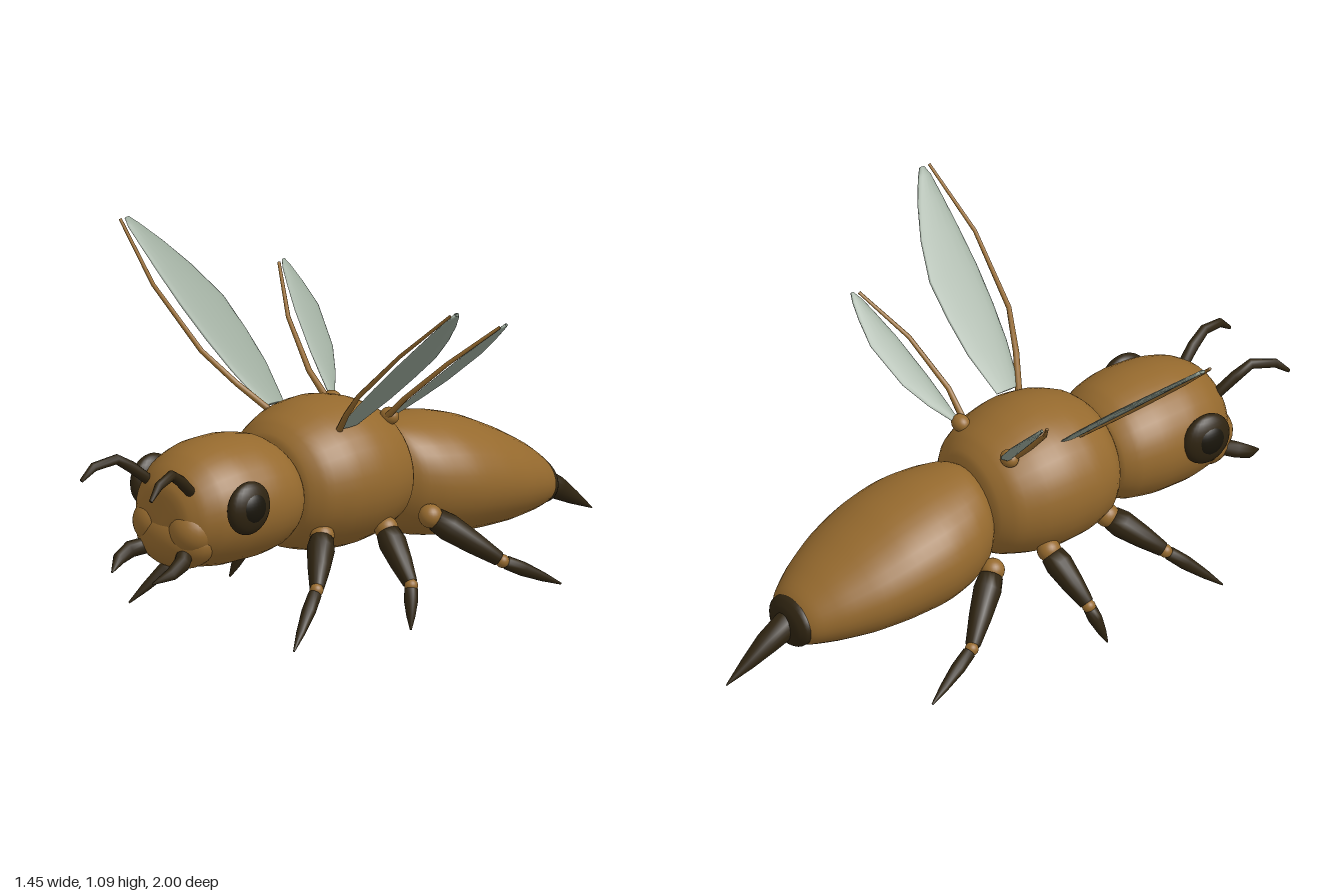
import * as THREE from 'three';

const V = (x, y, z) => new THREE.Vector3(x, y, z);

// Smooth closed skin over elliptical rings { c: centre, u, v: half axes }
function loft(rings, n) {
  const pos = [], idx = [];
  for (const { c, u, v } of rings) {
    for (let j = 0; j < n; j++) {
      const a = (j / n) * Math.PI * 2;
      const p = c.clone().addScaledVector(u, Math.cos(a)).addScaledVector(v, Math.sin(a));
      pos.push(p.x, p.y, p.z);
    }
  }
  const m = rings.length >> 1;
  const along = rings[m].c.clone().sub(rings[m - 1].c);
  const flip = rings[m].u.clone().cross(rings[m].v).dot(along) < 0;
  for (let i = 0; i < rings.length - 1; i++) {
    for (let j = 0; j < n; j++) {
      const a = i * n + j, b = i * n + ((j + 1) % n), c = a + n, d = b + n;
      if (flip) idx.push(a, c, b, b, c, d);
      else idx.push(a, b, c, b, d, c);
    }
  }
  const g = new THREE.BufferGeometry();
  g.setAttribute('position', new THREE.Float32BufferAttribute(pos, 3));
  g.setIndex(idx);
  g.computeVertexNormals();
  return g;
}

// Body segment from a few stations [z, centre y, half width, half height]
function bodyGeometry(stations) {
  const a = new THREE.CatmullRomCurve3(stations.map(([z, y]) => V(0, y, z)));
  const b = new THREE.CatmullRomCurve3(stations.map(([, , rx, ry]) => V(rx, ry, 0)));
  const rings = [], steps = (stations.length - 1) * 4;
  for (let i = 0; i <= steps; i++) {
    const c = a.getPoint(i / steps), r = b.getPoint(i / steps);
    rings.push({ c, u: V(Math.max(r.x, 0), 0, 0), v: V(0, Math.max(r.y, 0), 0) });
  }
  return loft(rings, 36);
}

// Round limb through points with a radius at each, closed at both ends
function limbGeometry(points, radii, n = 10) {
  const rings = points.map((c, i) => {
    const t = points[Math.min(i + 1, points.length - 1)].clone().sub(points[Math.max(i - 1, 0)]).normalize();
    const u = t.clone().cross(V(1, 0, 0)).normalize();
    const v = t.clone().cross(u);
    return { c, u: u.multiplyScalar(radii[i]), v: v.multiplyScalar(radii[i]) };
  });
  const cap = (r) => ({ c: r.c.clone(), u: r.u.clone().multiplyScalar(0.001), v: r.v.clone().multiplyScalar(0.001) });
  return loft([cap(rings[0]), ...rings, cap(rings[rings.length - 1])], n);
}

export function createModel() {
  const model = new THREE.Group();
  model.name = 'insect';
  const material = (name, color) => {
    const m = new THREE.MeshStandardMaterial({ color });
    m.name = name;
    return m;
  };
  const brown = material('amber brown', 0x966a2e);
  const dark = material('dark brown', 0x2f2411);
  const black = material('eye black', 0x19150b);
  const grey = material('wing grey', 0x98a698);

  const add = (name, geometry, mat, parent = model) => {
    const mesh = new THREE.Mesh(geometry, mat);
    mesh.name = name;
    parent.add(mesh);
    return mesh;
  };
  const ball = (name, c, r, mat, parent = model) => {
    const mesh = add(name, new THREE.SphereGeometry(1, 24, 16), mat, parent);
    mesh.position.copy(c);
    mesh.scale.copy(r);
    return mesh;
  };

  // Head, thorax and abdomen
  add('head', bodyGeometry([
    [0.34, 0.41, 0, 0], [0.36, 0.41, 0.16, 0.14], [0.42, 0.415, 0.2, 0.178], [0.52, 0.42, 0.217, 0.194],
    [0.62, 0.42, 0.212, 0.194], [0.71, 0.415, 0.188, 0.178], [0.77, 0.405, 0.15, 0.148],
    [0.805, 0.395, 0.1, 0.105], [0.815, 0.39, 0, 0],
  ]), brown);
  add('thorax', bodyGeometry([
    [0.375, 0.41, 0, 0], [0.36, 0.41, 0.16, 0.155], [0.31, 0.415, 0.216, 0.2], [0.22, 0.42, 0.25, 0.228],
    [0.13, 0.42, 0.257, 0.235], [0.04, 0.415, 0.246, 0.222], [-0.05, 0.405, 0.21, 0.19],
    [-0.1, 0.395, 0.15, 0.145], [-0.12, 0.39, 0, 0],
  ]), brown);
  add('abdomen', bodyGeometry([
    [-0.07, 0.36, 0, 0], [-0.09, 0.36, 0.13, 0.14], [-0.13, 0.355, 0.175, 0.173], [-0.2, 0.342, 0.212, 0.188],
    [-0.31, 0.326, 0.237, 0.192], [-0.43, 0.305, 0.234, 0.178], [-0.55, 0.276, 0.21, 0.151],
    [-0.66, 0.247, 0.165, 0.117], [-0.74, 0.222, 0.115, 0.084], [-0.775, 0.21, 0.07, 0.05], [-0.785, 0.21, 0, 0],
  ]), brown);

  // Tail cap and stinger
  add('tailCap', bodyGeometry([
    [-0.73, 0.218, 0.06, 0.05], [-0.738, 0.217, 0.1, 0.077], [-0.765, 0.211, 0.098, 0.075],
    [-0.785, 0.205, 0.07, 0.055], [-0.795, 0.202, 0, 0],
  ]), dark);
  add('stinger', limbGeometry(
    [V(0, 0.21, -0.765), V(0, 0.165, -0.85), V(0, 0.12, -0.92), V(0, 0.07, -1)],
    [0.044, 0.036, 0.022, 0.002], 16), dark);

  // Face plate with two upper lobes
  ball('facePlate', V(0, 0.335, 0.745), V(0.15, 0.095, 0.083), brown);
  for (const s of [1, -1]) ball('faceLobe', V(s * 0.078, 0.372, 0.75), V(0.075, 0.075, 0.075), brown);

  // Leg joints as [x, y, z]: hip, knee, foot
  const legs = {
    frontLeg: [[0.175, 0.285, 0.3], [0.29, 0.165, 0.435], [0.36, 0.02, 0.597]],
    middleLeg: [[0.205, 0.265, 0.06], [0.355, 0.125, 0.1], [0.395, 0.002, 0.14]],
    hindLeg: [[0.19, 0.26, -0.14], [0.322, 0.11, -0.315], [0.38, 0.012, -0.505]],
  };

  // Wings in side outline: blade stations [y, leading z, trailing z], vein [y, z]
  const wings = {
    foreWing: {
      x0: 0.165, slope: 1.144, thick: 0.006,
      blade: [[0.605, 0.22, 0.135], [0.7, 0.252, 0.105], [0.78, 0.268, 0.098], [0.865, 0.278, 0.1],
        [0.95, 0.28, 0.138], [1.02, 0.279, 0.185], [1.07, 0.277, 0.228], [1.09, 0.268, 0.25]],
      vein: [[0.59, 0.205], [0.67, 0.262], [0.76, 0.31], [0.93, 0.325], [1.09, 0.287]],
    },
    hindWing: {
      x0: 0.15, slope: 1.07, thick: 0.005,
      blade: [[0.595, -0.03, -0.055], [0.64, -0.042, -0.105], [0.7, -0.06, -0.155], [0.8, -0.098, -0.197],
        [0.86, -0.128, -0.194], [0.9, -0.15, -0.187], [0.92, -0.168, -0.178]],
      vein: [[0.585, -0.015], [0.66, -0.014], [0.79, -0.06], [0.915, -0.15]],
    },
  };

  for (const s of [1, -1]) {
    const side = s > 0 ? 'left' : 'right';
    const group = (name) => {
      const g = new THREE.Group();
      g.name = side + name[0].toUpperCase() + name.slice(1);
      model.add(g);
      return g;
    };

    // Domed eye with a darker raised centre
    const eye = group('eye');
    ball('eyeRim', V(s * 0.212, 0.45, 0.645), V(0.038, 0.083, 0.083), dark, eye);
    ball('eyeLens', V(s * 0.225, 0.453, 0.645), V(0.031, 0.055, 0.055), black, eye);

    // Antenna and mandible
    add(side + 'Antenna', limbGeometry(
      [V(s * 0.088, 0.495, 0.765), V(s * 0.108, 0.55, 0.83), V(s * 0.12, 0.582, 0.88),
        V(s * 0.142, 0.568, 0.955), V(s * 0.152, 0.53, 0.998)],
      [0.017, 0.018, 0.016, 0.014, 0.006]), dark);
    add(side + 'Mandible', limbGeometry(
      [V(s * 0.075, 0.305, 0.78), V(s * 0.112, 0.29, 0.83), V(s * 0.115, 0.268, 0.875), V(s * 0.088, 0.242, 0.93)],
      [0.026, 0.026, 0.02, 0.003]), dark);

    // Legs: hip ball, thick thigh, knee ball, pointed shin
    for (const [name, joints] of Object.entries(legs)) {
      const leg = group(name);
      const [hip, knee, foot] = joints.map(([x, y, z]) => V(s * x, y, z));
      const at = (a, b, t) => a.clone().lerp(b, t);
      ball('hip', hip, V(0.037, 0.037, 0.037), brown, leg);
      add('thigh', limbGeometry(
        [at(hip, knee, 0.08), at(hip, knee, 0.25), at(hip, knee, 0.6), at(hip, knee, 0.95)],
        [0.037, 0.043, 0.035, 0.023], 14), dark, leg);
      ball('knee', knee, V(0.021, 0.021, 0.021), brown, leg);
      add('shin', limbGeometry(
        [at(knee, foot, 0.07), at(knee, foot, 0.35), at(knee, foot, 0.7), foot],
        [0.021, 0.022, 0.014, 0.003], 12), dark, leg);
    }

    // Wings: thin lens-shaped blade with a bent vein ahead of it
    for (const [name, w] of Object.entries(wings)) {
      const wing = group(name);
      const x = (y) => s * (w.x0 + (y - 0.605) * w.slope);
      const normal = V(-s, w.slope, 0).normalize().multiplyScalar(w.thick);
      const rings = w.blade.map(([y, lead, trail]) => (
        { c: V(x(y), y, (lead + trail) / 2), u: V(0, 0, (lead - trail) / 2), v: normal }));
      for (const end of [0, rings.length - 1]) {
        const flat = { c: rings[end].c, u: V(0, 0, 0), v: V(0, 0, 0) };
        if (end === 0) rings.unshift(flat);
        else rings.push(flat);
      }
      add('blade', loft(rings, 16), grey, wing).name = 'blade';
      add('vein', limbGeometry(
        w.vein.map(([y, z]) => V(x(y), y, z)),
        w.vein.map((_, i) => 0.011 - (0.006 * i) / (w.vein.length - 1)), 8), brown, wing);
    }
    ball(side + 'WingJoint', V(s * 0.125, 0.585, -0.03), V(0.032, 0.027, 0.027), brown);
  }
  return model;
}
